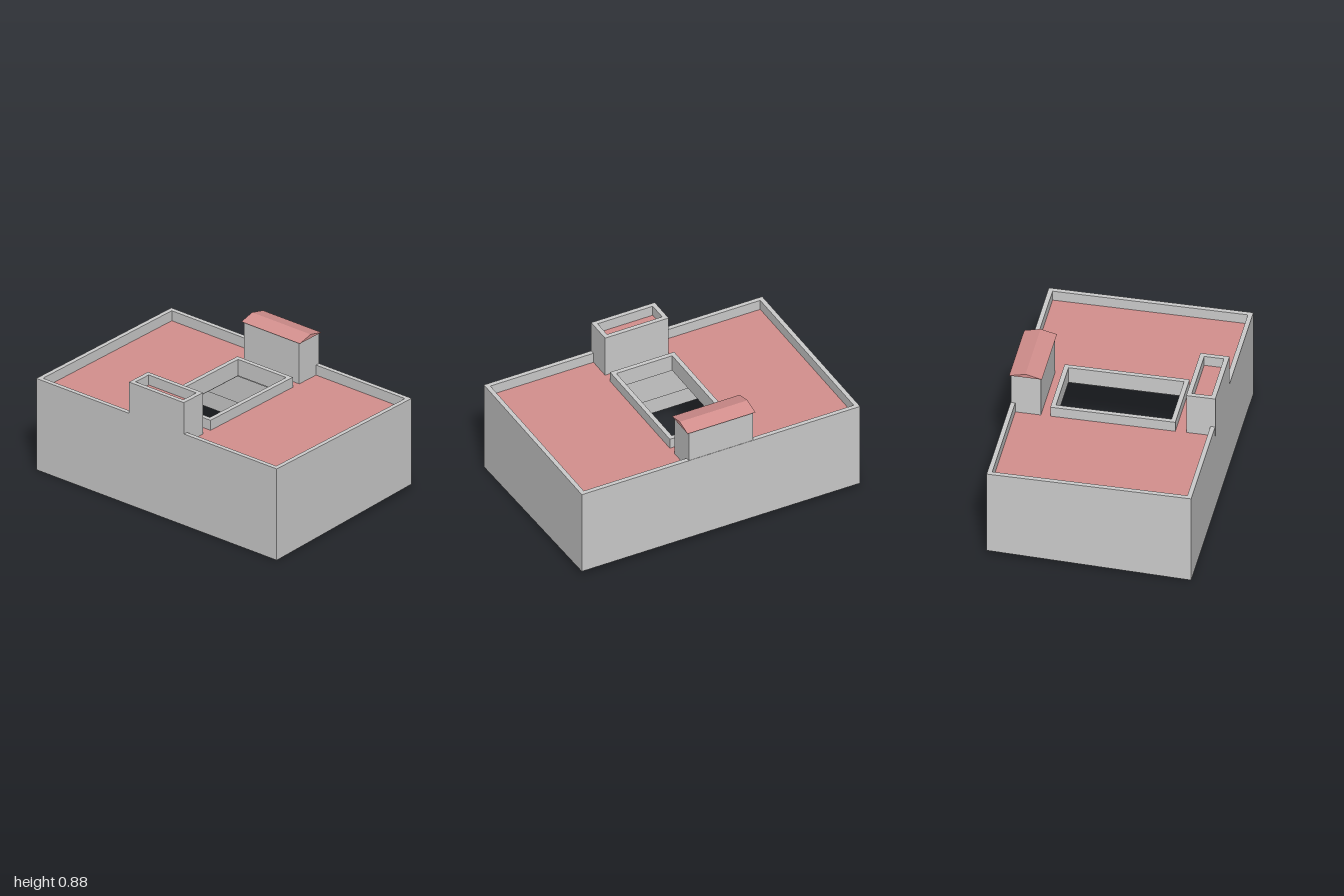
import * as THREE from 'three';

const grey = new THREE.MeshStandardMaterial({ color: 0xcccccc, side: THREE.DoubleSide });
const red = new THREE.MeshStandardMaterial({ color: 0xd4908e, side: THREE.DoubleSide });

const WALL = 0.03;                 // thickness of walls and parapets
const HX = 0.655, HZ = 0.99;       // half size of the block
const TOP = 0.64, DECK = 0.57;     // parapet top and roof deck heights
const COURT = { x: 0, z: 0, hx: 0.4, hz: 0.228 };
const groundY = (x) => 0.03 * (x + HX); // the site slopes up towards +x

// Counter-clockwise corners of a rectangle in plan
const corners = ({ x, z, hx, hz }) =>
  [[-1, -1], [1, -1], [1, 1], [-1, 1]].map(([a, b]) => new THREE.Vector2(x + a * hx, -z + b * hz));

const inset = (r, d) => ({ ...r, hx: r.hx - d, hz: r.hz - d });

function plan(outer, hole) {
  const shape = new THREE.Shape(corners(outer));
  if (hole) shape.holes.push(new THREE.Path(corners(hole)));
  return shape;
}

// Prism over a rectangular plan, with an optional rectangular hole
function prism(outer, hole, y0, y1) {
  const g = new THREE.ExtrudeGeometry(plan(outer, hole), { depth: y1 - y0, bevelEnabled: false });
  return g.rotateX(-Math.PI / 2).translate(0, y0, 0);
}

// Flat horizontal surface
function sheet(outer, hole, y) {
  return new THREE.ShapeGeometry(plan(outer, hole)).rotateX(-Math.PI / 2).translate(0, y, 0);
}

export function createModel() {
  const model = new THREE.Group();
  model.name = 'courtyardBuilding';
  const building = new THREE.Group();
  building.name = 'building';
  building.rotation.y = -0.01;
  model.add(building);

  const add = (name, geometry, material = grey) => {
    const mesh = new THREE.Mesh(geometry, material);
    mesh.name = name;
    building.add(mesh);
  };

  const block = { x: 0, z: 0, hx: HX, hz: HZ };
  const inside = inset(block, WALL);

  // Outer wall with parapet; its lower edge follows the slope
  const wall = prism(block, inside, 0, TOP);
  const p = wall.attributes.position;
  for (let i = 0; i < p.count; i++) {
    if (p.getY(i) < 0.01) p.setY(i, groundY(p.getX(i)) + 0.13);
  }
  wall.computeVertexNormals();
  add('outerWall', wall);

  // Thin skirt from the wall down to the sloping ground
  const verts = [], index = [];
  corners(block).forEach((c, i, all) => {
    const n = all[(i + 1) % 4];
    for (const q of [c, n]) {
      const y = groundY(q.x);
      verts.push(q.x, y, -q.y, q.x, y + 0.13, -q.y);
    }
    const k = i * 4;
    index.push(k, k + 2, k + 3, k, k + 3, k + 1);
  });
  const skirt = new THREE.BufferGeometry();
  skirt.setAttribute('position', new THREE.Float32BufferAttribute(verts, 3));
  skirt.setIndex(index);
  skirt.computeVertexNormals();
  add('foundationSkirt', skirt);

  // Roof slab, its coloured deck and the parapet round the courtyard opening
  add('roofSlab', prism(inside, COURT, 0.5, DECK - 0.002));
  add('roofDeck', sheet(inside, COURT, DECK), red);
  add('courtyardParapet', prism(COURT, inset(COURT, WALL), 0.525, TOP));

  // Tower with a sunken flat roof
  const flat = { x: -0.563, z: 0, hx: 0.093, hz: 0.226 };
  add('flatTowerWalls', prism(flat, inset(flat, WALL), DECK, 0.86));
  add('flatTowerDeck', sheet(inset(flat, WALL), null, 0.79), red);

  // Tower with a low gable roof
  const gabled = { x: 0.557, z: 0, hx: 0.096, hz: 0.228 };
  add('gabledTower', prism(gabled, null, DECK, 0.859));
  const gable = new THREE.Shape([
    new THREE.Vector2(-0.105, 0), new THREE.Vector2(0.105, 0), new THREE.Vector2(0, 0.026),
  ]);
  const roof = new THREE.ExtrudeGeometry(gable, { depth: 0.482, bevelEnabled: false });
  add('gableRoof', roof.translate(gabled.x, 0.859, -0.241), red);

  return model;
}
